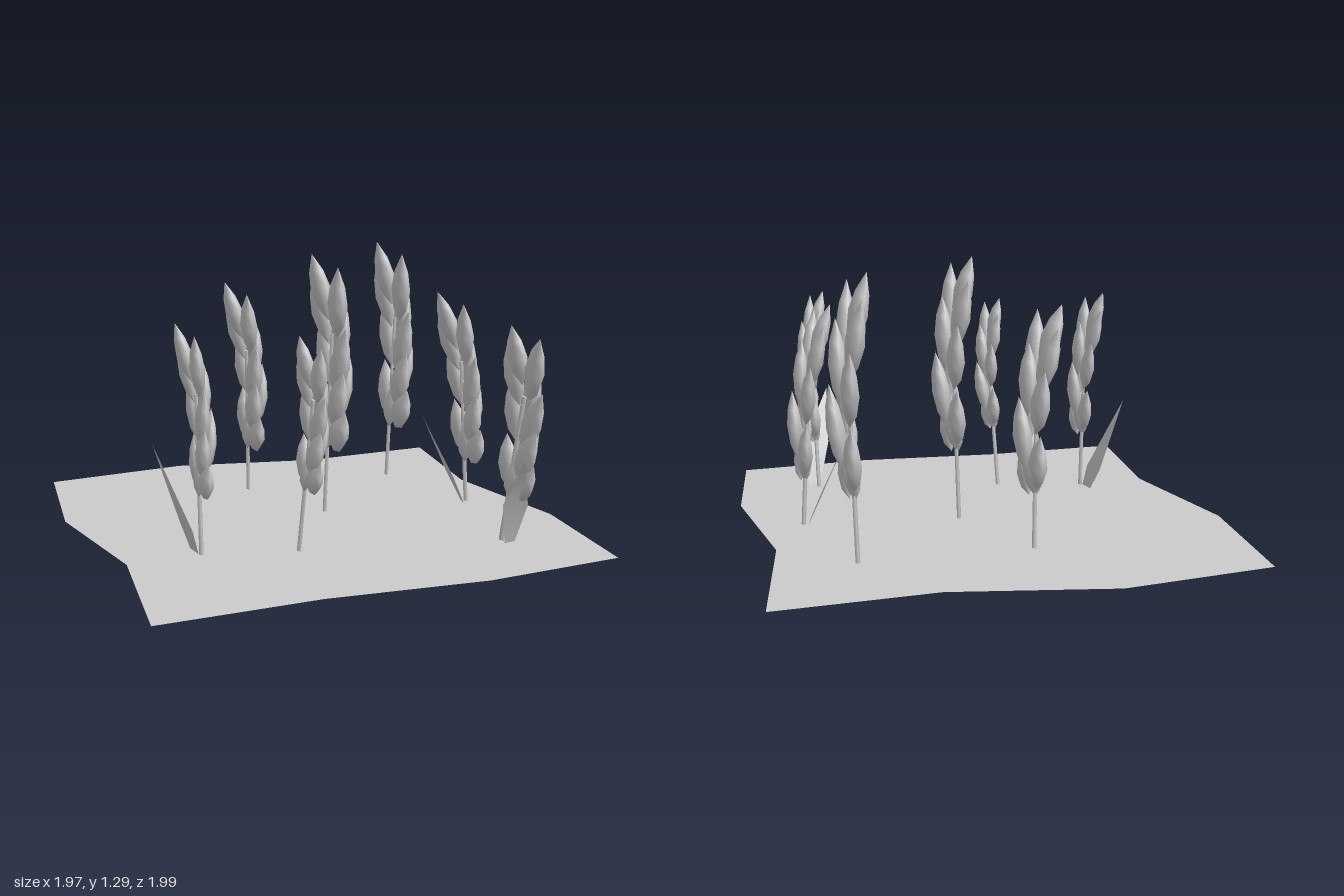
import * as THREE from 'three';

const GROUND_Y = 0.18;
const material = new THREE.MeshStandardMaterial({ color: 0xcccccc });
const thin = new THREE.MeshStandardMaterial({ color: 0xcccccc, side: THREE.DoubleSide });

// Plump, pointed kernel of unit length along +y
const grainGeometry = new THREE.LatheGeometry(
  [[0, 0], [0.72, 0.2], [1, 0.48], [0.72, 0.74], [0, 1]].map(([r, y]) => new THREE.Vector2(r, y)), 6);

// Kernels of one ear: base and tip as [x, height fraction, z]
const grains = [
  [[0.01, 0.66, 0.02], [-0.05, 1.0, -0.03]],
  [[0.03, 0.58, 0.06], [0.0, 0.95, 0.14]],
  [[0.02, 0.54, 0.0], [-0.02, 0.89, -0.1]],
  [[0.05, 0.42, 0.03], [0.06, 0.8, 0.04]],
  [[0.02, 0.28, 0.06], [0.02, 0.65, 0.18]],
  [[0.02, 0.33, 0.0], [0.03, 0.68, -0.11]],
  [[0.05, 0.14, 0.02], [0.09, 0.52, 0.04]],
  [[0.01, 0.12, 0.06], [0.01, 0.43, 0.18]],
  [[0.01, 0.04, 0.0], [0.03, 0.35, -0.1]],
  [[0.02, 0.0, 0.05], [0.02, 0.23, 0.18]],
  [[0.0, 0.0, 0.02], [0.04, 0.27, 0.02]],
];

// Stem foot x/z, ear bottom/top, ear width scale, lean in x/z at the top
const plants = [
  { x: 0.09, z: -0.04, bottom: 0.46, top: 1.29, k: 1, lean: [0, 0] },
  { x: 0.59, z: -0.5, bottom: 0.42, top: 1.29, k: 1, lean: [0, 0] },
  { x: -0.11, z: -0.49, bottom: 0.38, top: 1.14, k: 0.95, lean: [-0.06, 0.05] },
  { x: 0.74, z: 0.03, bottom: 0.36, top: 1.11, k: 0.88, lean: [-0.08, -0.05] },
  { x: -0.57, z: 0.33, bottom: 0.41, top: 1.08, k: 0.76, lean: [-0.03, -0.05] },
  { x: -0.2, z: 0.42, bottom: 0.43, top: 1.04, k: 0.76, lean: [0.02, 0.08] },
  { x: 0.61, z: 0.58, bottom: 0.37, top: 1.07, k: 0.85, lean: [-0.01, 0.14] },
];

function makeGrain(base, tip, size) {
  const axis = tip.clone().sub(base);
  const length = axis.length();
  axis.normalize();
  const across = new THREE.Vector3(1, 0, 0).cross(axis).normalize();
  const out = axis.clone().cross(across);
  const mesh = new THREE.Mesh(grainGeometry, material);
  mesh.name = 'grain';
  mesh.quaternion.setFromRotationMatrix(new THREE.Matrix4().makeBasis(out, axis, across));
  mesh.position.copy(base);
  mesh.scale.set(0.036 * size, length, 0.072 * size);
  return mesh;
}

function makePlant({ x, z, bottom, top, k, lean }) {
  const plant = new THREE.Group();
  plant.name = 'wheatPlant';
  const place = ([gx, t, gz]) => {
    const y = bottom + t * (top - bottom);
    const f = (y - GROUND_Y) / (top - GROUND_Y);
    return new THREE.Vector3(x + gx * k + lean[0] * f, y, z + gz * k + lean[1] * f);
  };
  for (const [base, tip] of grains) plant.add(makeGrain(place(base), place(tip), k));

  // Slender four-sided stem reaching into the ear
  const foot = new THREE.Vector3(x, GROUND_Y - 0.01, z);
  const head = place([0.02, 0.6, 0.03]);
  const stem = new THREE.Mesh(new THREE.CylinderGeometry(0.017, 0.02, 1, 4), material);
  stem.name = 'stem';
  stem.position.copy(foot).lerp(head, 0.5);
  stem.scale.set(0.45, foot.distanceTo(head), 1);
  stem.quaternion.setFromUnitVectors(new THREE.Vector3(0, 1, 0), head.clone().sub(foot).normalize());
  plant.add(stem);
  return plant;
}

// Folded blade: foot, one edge, tip, other edge
function makeLeaf(points) {
  const geometry = new THREE.BufferGeometry();
  geometry.setAttribute('position', new THREE.Float32BufferAttribute(points.flat(), 3));
  geometry.setIndex([0, 1, 3, 1, 2, 3]);
  geometry.computeVertexNormals();
  const leaf = new THREE.Mesh(geometry, thin);
  leaf.name = 'leaf';
  return leaf;
}

export function createModel() {
  const model = new THREE.Group();
  model.name = 'wheatField';

  // Flat patch of ground with a wavy outline, as [x, z]
  const outline = [[-0.93, -0.92], [-0.3, -1], [0.34, -0.88], [0.97, -0.92], [0.88, -0.28], [0.98, 0.35],
    [0.92, 0.94], [0.34, 0.99], [-0.3, 0.95], [-0.93, 0.98], [-0.87, 0.35], [-0.99, -0.28]];
  const shape = new THREE.Shape(outline.map(([x, z]) => new THREE.Vector2(x, -z)));
  const ground = new THREE.Mesh(new THREE.ShapeGeometry(shape).rotateX(-Math.PI / 2), thin);
  ground.name = 'ground';
  ground.position.y = GROUND_Y;
  model.add(ground);

  for (const plant of plants) model.add(makePlant(plant));

  // Loose leaves at the feet of three plants
  const leaves = [
    [[-0.54, 0, 0.33], [-0.6, 0.27, 0.32], [-0.72, 0.6, 0.19], [-0.62, 0.28, 0.2]],
    [[0.75, 0.09, 0.07], [0.66, 0.3, 0.06], [0.57, 0.55, -0.07], [0.68, 0.3, -0.05]],
    [[0.63, 0.07, 0.59], [0.55, 0.36, 0.69], [0.53, 0.58, 0.88], [0.68, 0.34, 0.66]],
  ];
  for (const points of leaves) model.add(makeLeaf(points));
  return model;
}
